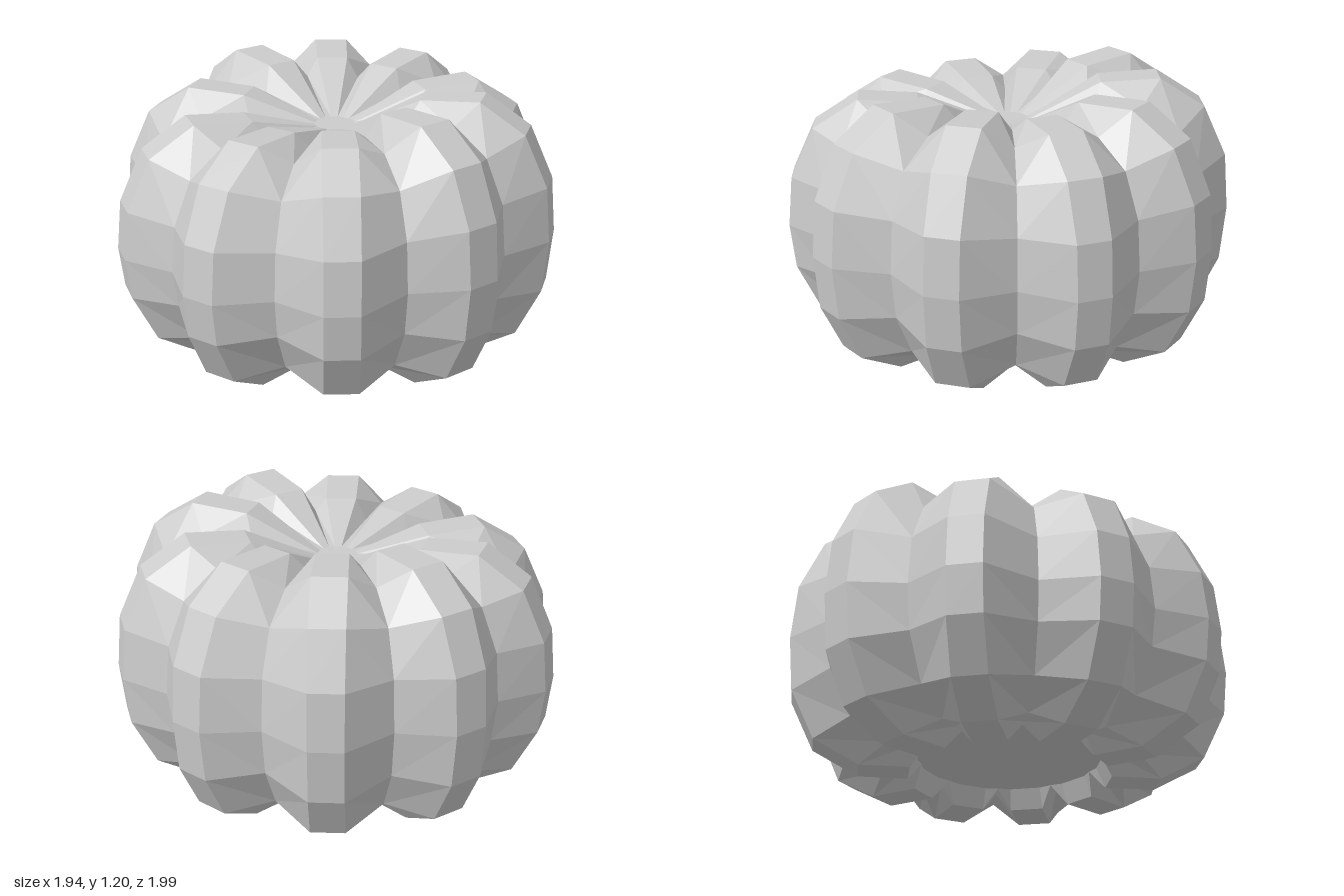
import * as THREE from 'three';

const LOBES = 10;
const COLS = LOBES * 3;

// [radius, height] from the sunken base, round the outside, to the sunken crown
const CREST = [[0.41, 0.09], [0.45, 0], [0.67, 0], [0.87, 0.11], [0.975, 0.33], [0.997, 0.57],
  [0.975, 0.82], [0.87, 1.05], [0.67, 1.18], [0.41, 1.165], [0.09, 1.0]];
const VALLEY = [[0.4, 0.09], [0.46, 0.08], [0.58, 0.07], [0.75, 0.16], [0.85, 0.36], [0.875, 0.57],
  [0.855, 0.8], [0.77, 0.99], [0.6, 1.09], [0.38, 1.09], [0.09, 1.0]];

// Uneven growth: height offset of each lobe, counted from the front towards +x
const GROWTH = [-0.06, 0, 0, -0.03, 0, 0.02, 0.02, -0.05, -0.09, -0.08];

// Two crest edges and one valley per lobe
function ringPoint(row, col) {
  const lobe = Math.floor(col / 3) % LOBES;
  const kind = col % 3;
  const valley = kind === 2;
  const [r, y] = (valley ? VALLEY : CREST)[row];
  const angle = lobe * Math.PI * 2 / LOBES;
  const half = Math.min(0.075, r * 0.17);
  const offset = valley ? Math.PI / LOBES : (kind === 0 ? -1 : 1) * Math.asin(half / r);
  const growth = valley ? (GROWTH[lobe] + GROWTH[(lobe + 1) % LOBES]) / 2 : GROWTH[lobe];
  const lift = row === CREST.length - 1 ? 0 : growth * THREE.MathUtils.clamp((y - 0.3) / 0.4, 0, 1);
  return [r * Math.sin(angle + offset), y + lift, r * Math.cos(angle + offset)];
}

function pumpkinGeometry() {
  const positions = [];
  const index = [];
  const rows = CREST.length;
  for (let row = 0; row < rows; row++) {
    for (let col = 0; col < COLS; col++) positions.push(...ringPoint(row, col));
  }
  // Ribbed skin
  for (let row = 0; row < rows - 1; row++) {
    for (let col = 0; col < COLS; col++) {
      const next = (col + 1) % COLS;
      const a = row * COLS + col, b = row * COLS + next;
      const c = a + COLS, d = b + COLS;
      // Mirror the diagonals on both sides of each valley
      if (col % 3 === 1) index.push(a, b, c, b, d, c);
      else index.push(a, b, d, a, d, c);
    }
  }
  // Flat base and crown discs
  const base = rows * COLS, crown = base + 1, last = (rows - 1) * COLS;
  positions.push(0, CREST[0][1], 0, 0, CREST[rows - 1][1], 0);
  for (let col = 0; col < COLS; col++) {
    const next = (col + 1) % COLS;
    index.push(base, next, col, crown, last + col, last + next);
  }
  const geometry = new THREE.BufferGeometry();
  geometry.setAttribute('position', new THREE.Float32BufferAttribute(positions, 3));
  geometry.setIndex(index);
  geometry.computeVertexNormals();
  return geometry;
}

export function createModel() {
  const group = new THREE.Group();
  group.name = 'pumpkin';
  const material = new THREE.MeshStandardMaterial({ color: 0xcccccc, flatShading: true });
  const body = new THREE.Mesh(pumpkinGeometry(), material);
  body.name = 'ribbedBody';
  group.add(body);
  return group;
}
